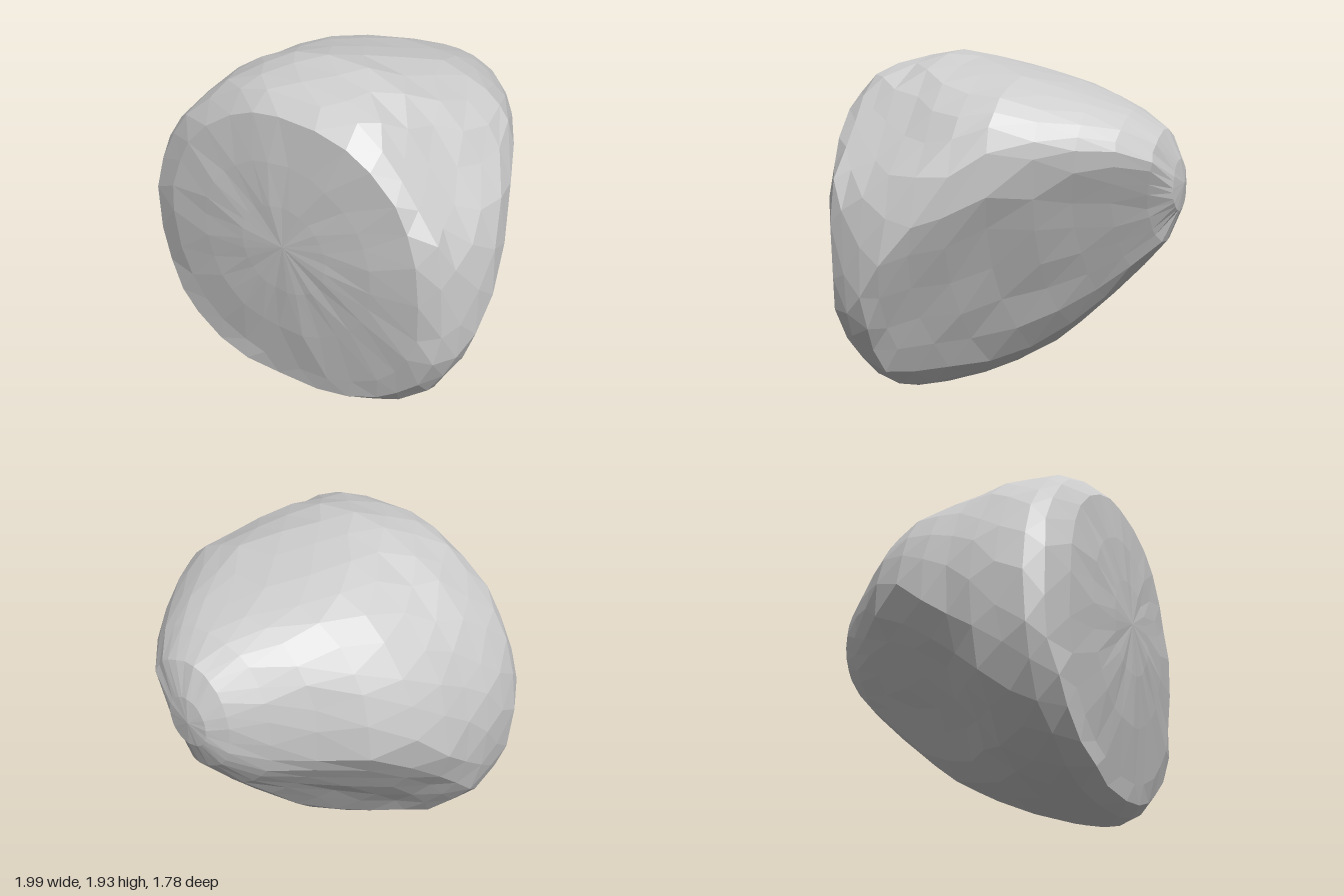
import * as THREE from 'three';

const SEGMENTS = 28;

// Cross-sections from back to front:
// z, left x, right x, bottom y, top y, y of widest point at left and right,
// squareness of the upper right, lower right and upper left quarters
const SECTIONS = [
  [-0.87, -0.12, 0.14, 1.08, 1.36, 1.22, 1.22, 2.0, 2.0, 2.0],
  [-0.80, -0.22, 0.32, 0.91, 1.52, 1.20, 1.28, 2.1, 2.0, 2.1],
  [-0.65, -0.37, 0.46, 0.74, 1.63, 1.15, 1.35, 2.2, 1.9, 2.2],
  [-0.48, -0.54, 0.58, 0.58, 1.70, 1.10, 1.38, 2.3, 1.9, 2.3],
  [-0.29, -0.74, 0.69, 0.40, 1.77, 1.00, 1.38, 2.5, 1.9, 2.3],
  [-0.09, -0.88, 0.80, 0.24, 1.82, 0.95, 1.32, 2.8, 1.9, 2.2],
  [0.10, -0.95, 0.90, 0.14, 1.87, 0.93, 1.10, 2.4, 1.9, 2.1],
  [0.26, -0.98, 0.96, 0.08, 1.90, 0.93, 0.95, 2.2, 2.0, 2.0],
  [0.41, -1.00, 1.00, 0.035, 1.935, 0.93, 0.80, 2.1, 2.2, 1.95],
  [0.55, -1.00, 0.97, 0.00, 1.92, 0.93, 0.76, 2.1, 2.2, 1.95],
  [0.68, -0.99, 0.93, 0.025, 1.89, 0.93, 0.76, 2.4, 2.2, 1.95],
  [0.77, -0.94, 0.88, 0.08, 1.85, 0.95, 0.82, 2.7, 2.2, 1.95],
  [0.838, -0.77, 0.78, 0.19, 1.77, 0.97, 0.90, 2.4, 2.2, 2.0],
  [0.868, -0.52, 0.52, 0.47, 1.52, 1.00, 1.00, 2.0, 2.0, 2.0],
  [0.882, -0.26, 0.26, 0.75, 1.28, 1.02, 1.02, 2.0, 2.0, 2.0],
];

// Flat cleavage faces that cut the rounded mass
const CUTS = [
  [0.79, 0.59, 0.17, 1.54], // upper right shoulder
  [0.717, -0.414, -0.56, 0.115], // right underside, facing back
  [-0.6, -0.55, -0.58, 0.06], // left underside, facing back
].map(([x, y, z, distance]) => new THREE.Plane(new THREE.Vector3(x, y, z).normalize(), -distance));

function seededNoise(seed) {
  let s = seed;
  return () => {
    s = (s * 16807) % 2147483647;
    return (s / 2147483647) * 2 - 1;
  };
}

// One lopsided oval; each quarter has its own radii and squareness
function sectionPoint([z, left, right, bottom, top, yLeft, yRight, upRight, downRight, upLeft], angle) {
  const c = Math.cos(angle), s = Math.sin(angle);
  const middleX = (left + right) / 2;
  const middleY = c >= 0 ? yRight : yLeft;
  const n = c >= 0 ? (s >= 0 ? upRight : downRight) : (s >= 0 ? upLeft : 2.4);
  const power = (v) => Math.sign(v) * Math.abs(v) ** (2 / n);
  const height = s >= 0 ? top - middleY : middleY - bottom;
  const x = middleX + ((right - left) / 2) * power(c);
  const y = middleY + height * power(s);
  // the front face falls back towards its foot
  const lean = z > 0.8 ? (y < 1 ? 0.07 : 0.025) * (y - 1) : 0;
  return new THREE.Vector3(x, y, z + lean);
}

function boulderGeometry() {
  const noise = seededNoise(71);
  const positions = [], index = [];

  SECTIONS.forEach((section, ring) => {
    const size = (section[4] - section[3]) / 2;
    const roughness = section[0] > 0.8 ? 0.005 : 0.016 * size;
    for (let i = 0; i < SEGMENTS; i++) {
      // alternate rings are staggered by half a step
      const step = i + (ring % 2) / 2 + noise() * 0.14;
      const p = sectionPoint(section, (step / SEGMENTS) * Math.PI * 2);
      for (const plane of CUTS) {
        const outside = plane.distanceToPoint(p);
        if (outside > 0) p.addScaledVector(plane.normal, -outside);
      }
      const chip = 1 + noise() * 0.008;
      positions.push(p.x * chip, Math.max(0, 1 + (p.y - 1) * chip), p.z + noise() * roughness);
    }
  });

  // Skin between neighbouring rings
  for (let ring = 0; ring < SECTIONS.length - 1; ring++) {
    for (let i = 0; i < SEGMENTS; i++) {
      const j = (i + 1) % SEGMENTS;
      const a = ring * SEGMENTS + i, b = ring * SEGMENTS + j;
      const c = a + SEGMENTS, d = b + SEGMENTS;
      if (ring % 2) index.push(a, b, d, a, d, c);
      else index.push(a, b, c, b, d, c);
    }
  }

  // Close the blunt back tip and the broad front face
  const back = positions.length / 3, front = back + 1;
  positions.push(-0.01, 1.23, -0.89, 0, 1.04, 0.888);
  const last = (SECTIONS.length - 1) * SEGMENTS;
  for (let i = 0; i < SEGMENTS; i++) {
    const j = (i + 1) % SEGMENTS;
    index.push(back, j, i, front, last + i, last + j);
  }

  const geometry = new THREE.BufferGeometry();
  geometry.setAttribute('position', new THREE.Float32BufferAttribute(positions, 3));
  geometry.setIndex(index);
  geometry.computeVertexNormals();
  return geometry;
}

export function createModel() {
  const model = new THREE.Group();
  model.name = 'rock';
  const material = new THREE.MeshStandardMaterial({ color: 0xcccccc, flatShading: true });
  const boulder = new THREE.Mesh(boulderGeometry(), material);
  boulder.name = 'boulder';
  model.add(boulder);
  return model;
}
